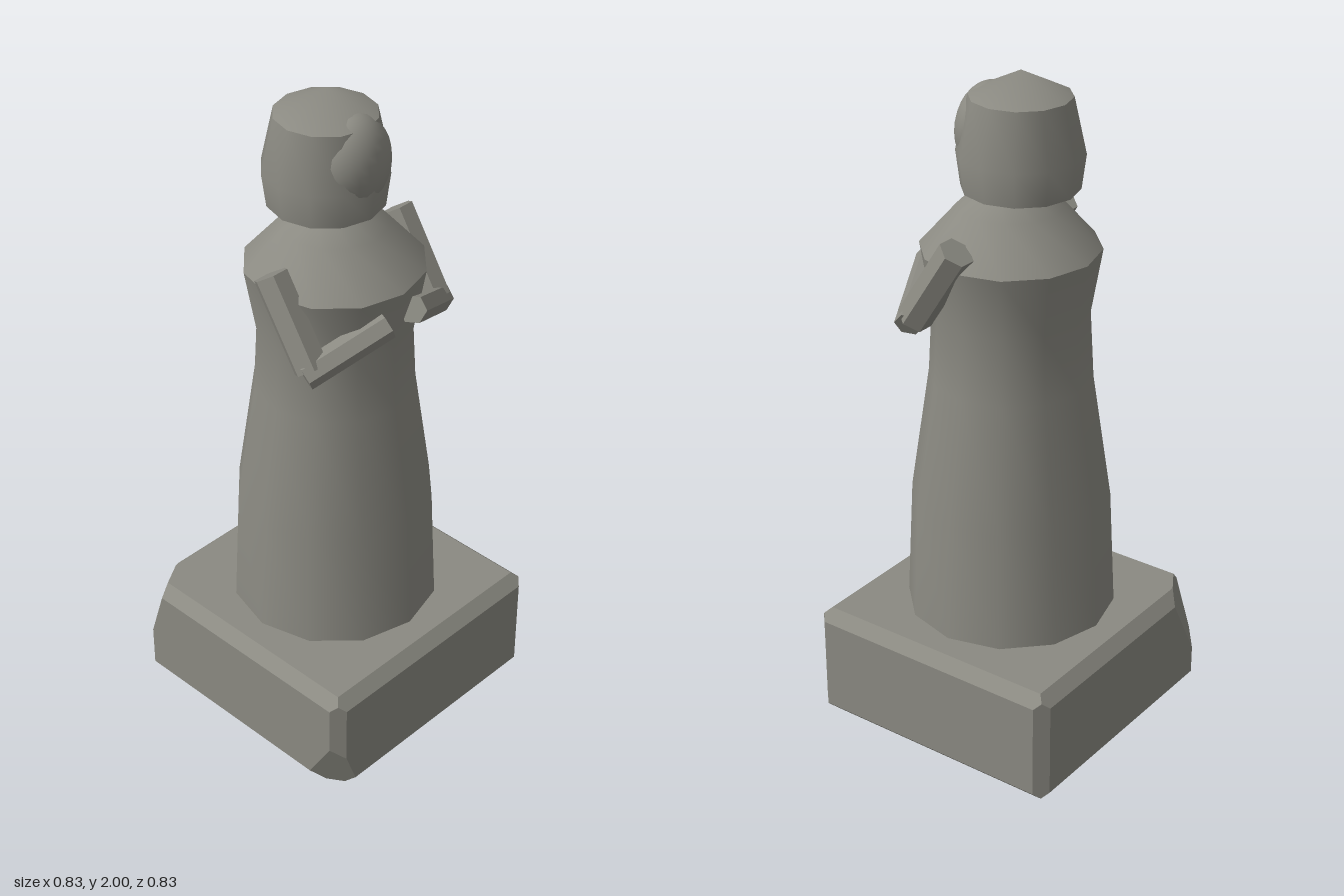
import * as THREE from 'three';
import { ConvexGeometry } from 'three/addons/geometries/ConvexGeometry.js';
import { mergeVertices } from 'three/addons/utils/BufferGeometryUtils.js';

// Weathered warm grey stone
const smooth = new THREE.MeshStandardMaterial({ color: 0x8b8a82 });
const flat = new THREE.MeshStandardMaterial({ color: 0x8b8a82, flatShading: true });

function add(parent, name, geometry, material = smooth) {
  const mesh = new THREE.Mesh(geometry, material);
  mesh.name = name;
  parent.add(mesh);
  return mesh;
}

// Twelve-sided turned shape from [radius, height] pairs, smooth across seam and tip
function turned(profile) {
  const lathe = new THREE.LatheGeometry(profile.map(([r, y]) => new THREE.Vector2(r, y)), 12);
  lathe.deleteAttribute('uv');
  lathe.deleteAttribute('normal');
  const geometry = mergeVertices(lathe, 1e-4);
  geometry.computeVertexNormals();
  return geometry;
}

// Convex solid bounded by planes [nx, ny, nz, d]: keep the corners inside all of them
function solidFromPlanes(planes) {
  const points = [];
  const m = new THREE.Matrix3();
  for (let i = 0; i < planes.length; i++)
    for (let j = i + 1; j < planes.length; j++)
      for (let k = j + 1; k < planes.length; k++) {
        const [a, b, c] = [planes[i], planes[j], planes[k]];
        m.set(a[0], a[1], a[2], b[0], b[1], b[2], c[0], c[1], c[2]);
        if (Math.abs(m.determinant()) < 1e-4) continue;
        const p = new THREE.Vector3(a[3], b[3], c[3]).applyMatrix3(m.invert());
        const inside = planes.every(q => q[0] * p.x + q[1] * p.y + q[2] * p.z <= q[3] + 1e-5);
        if (inside && points.every(q => q.distanceTo(p) > 1e-3)) points.push(p);
      }
  return new ConvexGeometry(points);
}

// Bevelled plinth with two chipped corners
function plinthGeometry() {
  const half = [0.415, 0.18, 0.415], bevel = 0.035, planes = [];
  for (let axis = 0; axis < 3; axis++)
    for (const s of [1, -1]) {
      const face = [0, 0, 0, half[axis]];
      face[axis] = s;
      planes.push(face);
      const next = (axis + 1) % 3;
      for (const t of [1, -1]) {
        const edge = [0, 0, 0, half[axis] + half[next] - bevel];
        edge[axis] = s;
        edge[next] = t;
        planes.push(edge);
      }
    }
  // Chips, given from the ground and shifted to the plinth's centre
  for (const [x, y, z, d] of [[-0.51, 0.28, -0.86, 0.585], [-0.8, -0.3, 0.51, 0.474]])
    planes.push([x, y, z, d - y * 0.18]);
  return solidFromPlanes(planes).translate(0, 0.18, 0);
}

// Hexagonal bar between two points, a corner facing sideways
function bar(parent, name, from, to, radius) {
  const a = new THREE.Vector3(...from), b = new THREE.Vector3(...to);
  const geometry = new THREE.CylinderGeometry(radius, radius, a.distanceTo(b), 6);
  geometry.rotateY(Math.PI / 2);
  const mesh = add(parent, name, geometry, flat);
  mesh.position.copy(a).add(b).multiplyScalar(0.5);
  mesh.quaternion.setFromUnitVectors(new THREE.Vector3(0, 1, 0), b.clone().sub(a).normalize());
}

export function createModel() {
  const model = new THREE.Group();
  model.name = 'statue';

  add(model, 'plinth', plinthGeometry(), flat);

  // Long robe under a cape-like shoulder cone
  add(model, 'robe', turned([[0.31, 0.35], [0.292, 0.72], [0.236, 1.1], [0.225, 1.3], [0.257, 1.49]]));
  add(model, 'shoulders', turned([[0.257, 1.49], [0.15, 1.61], [0.06, 1.672], [0, 1.685]]));

  // Hooded head, set back a little
  const head = new THREE.Group();
  head.name = 'head';
  head.position.z = -0.033;
  model.add(head);
  add(head, 'hoodUnderside', turned([[0, 1.67], [0.166, 1.67]]));
  add(head, 'hood', turned([[0.166, 1.67], [0.179, 1.77], [0.144, 1.93]]));
  add(head, 'hoodTop', turned([[0.144, 1.93], [0, 2]]));

  // Rounded face showing through the front of the hood
  const face = add(model, 'face', new THREE.SphereGeometry(1, 24, 16));
  face.scale.set(0.115, 0.135, 0.092);
  face.position.set(0.005, 1.818, 0.062);

  // Bent arms, hands nearly meeting in front of the chest
  for (const [side, name] of [[1, 'leftArm'], [-1, 'rightArm']]) {
    const arm = new THREE.Group();
    arm.name = name;
    model.add(arm);
    bar(arm, 'upperArm', [side * 0.245, 1.55, 0], [side * 0.245, 1.318, 0.15], 0.051);
    bar(arm, 'forearm', [side * 0.272, 1.307, 0.15], [side * 0.05, 1.413, 0.245], 0.041);
  }
  return model;
}
